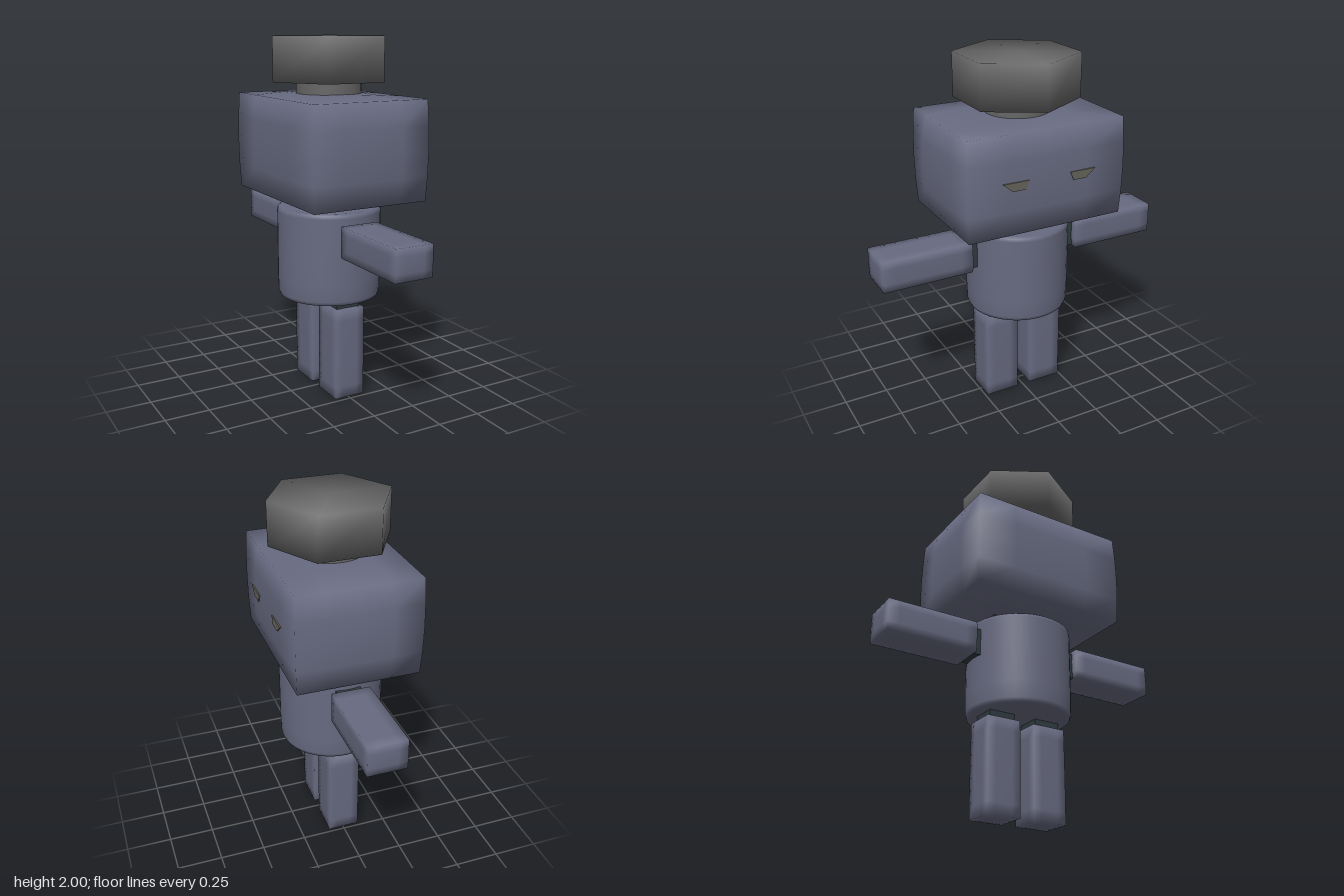
import * as THREE from 'three';
import { mergeVertices } from 'three/addons/utils/BufferGeometryUtils.js';

const mat = (name, color) => {
  const m = new THREE.MeshStandardMaterial({ color });
  m.name = name;
  return m;
};

// Weld all corners so that shading flows over the edges
function smooth(geometry) {
  geometry.deleteAttribute('normal');
  geometry.deleteAttribute('uv');
  const welded = mergeVertices(geometry, 1e-4);
  welded.computeVertexNormals();
  return welded;
}

// Box whose faces swell outward toward their middles; the corners stay put
function puffedBox(w, h, d, bulge, segs = [4, 4, 4]) {
  const g = new THREE.BoxGeometry(w, h, d, ...segs);
  const p = g.attributes.position;
  for (let i = 0; i < p.count; i++) {
    const x = p.getX(i), y = p.getY(i), z = p.getZ(i);
    const u = (2 * x / w) ** 2, v = (2 * y / h) ** 2, t = (2 * z / d) ** 2;
    p.setXYZ(i,
      x * (1 + bulge * (1 - v) * (1 - 0.7 * t)),
      y * (1 + bulge * (1 - u) * (1 - t)),
      z * (1 + bulge * (1 - v) * (1 - 0.7 * u)));
  }
  return smooth(g);
}

export function createModel() {
  const model = new THREE.Group();
  model.name = 'figure';
  const skin = mat('slate blue', 0x676a80);
  const hatGrey = mat('hat grey', 0x666666);
  const joint = mat('dark joint', 0x2f3b3f);
  const eyeMat = mat('eye olive grey', 0x66645a);

  const add = (name, geometry, material, x = 0, y = 0, z = 0) => {
    const mesh = new THREE.Mesh(geometry, material);
    mesh.name = name;
    mesh.position.set(x, y, z);
    model.add(mesh);
    return mesh;
  };

  // Head
  add('head', puffedBox(0.67, 0.54, 0.9, 0.075), skin, 0, 1.41, 0);

  // Hat: round base under a six-sided block
  add('hatBase', new THREE.CylinderGeometry(0.178, 0.178, 0.13, 32), hatGrey, 0, 1.715, 0);
  const block = new THREE.CylinderGeometry(0.336, 0.336, 0.24, 6);
  block.rotateY(Math.PI / 6);
  add('hatBlock', smooth(block), hatGrey, 0, 1.88, 0);

  // Torso with softened rims
  const profile = [[0, 0.565], [0.26, 0.565], [0.279, 0.569], [0.287, 0.59], [0.29, 0.68],
    [0.29, 1.05], [0.287, 1.068], [0.272, 1.078], [0, 1.078]];
  add('torso', new THREE.LatheGeometry(profile.map(([r, y]) => new THREE.Vector2(r, y)), 40), skin);

  // Neck
  add('neck', new THREE.BoxGeometry(0.14, 0.1, 0.4), joint, 0, 1.1, 0);

  // Mirrored parts
  for (const s of [1, -1]) {
    const side = s > 0 ? 'left' : 'right';

    // Arm and shoulder joint
    add(side + 'Shoulder', new THREE.BoxGeometry(0.14, 0.15, 0.12), joint, 0, 0.935, s * 0.29);
    add(side + 'Arm', puffedBox(0.216, 0.172, 0.51, 0.03, [4, 4, 8]), skin, 0, 0.941, s * 0.581);

    // Leg and hip joint
    add(side + 'Hip', new THREE.BoxGeometry(0.14, 0.08, 0.15), joint, 0, 0.55, s * 0.14);
    add(side + 'Leg', puffedBox(0.177, 0.518, 0.196, 0.03, [4, 8, 4]), skin, 0, 0.268, s * 0.14);

    // Narrow slanted eye on the +x face
    const eye = new THREE.Shape([[-0.27, 1.436], [-0.215, 1.39], [-0.14, 1.39], [-0.12, 1.436]]
      .map(([a, y]) => new THREE.Vector2(a * s, y)));
    const plate = new THREE.ExtrudeGeometry(eye, { depth: 0.008, bevelEnabled: false });
    plate.rotateY(Math.PI / 2);
    add(side + 'Eye', plate, eyeMat, 0.354, 0, 0);
  }
  return model;
}
